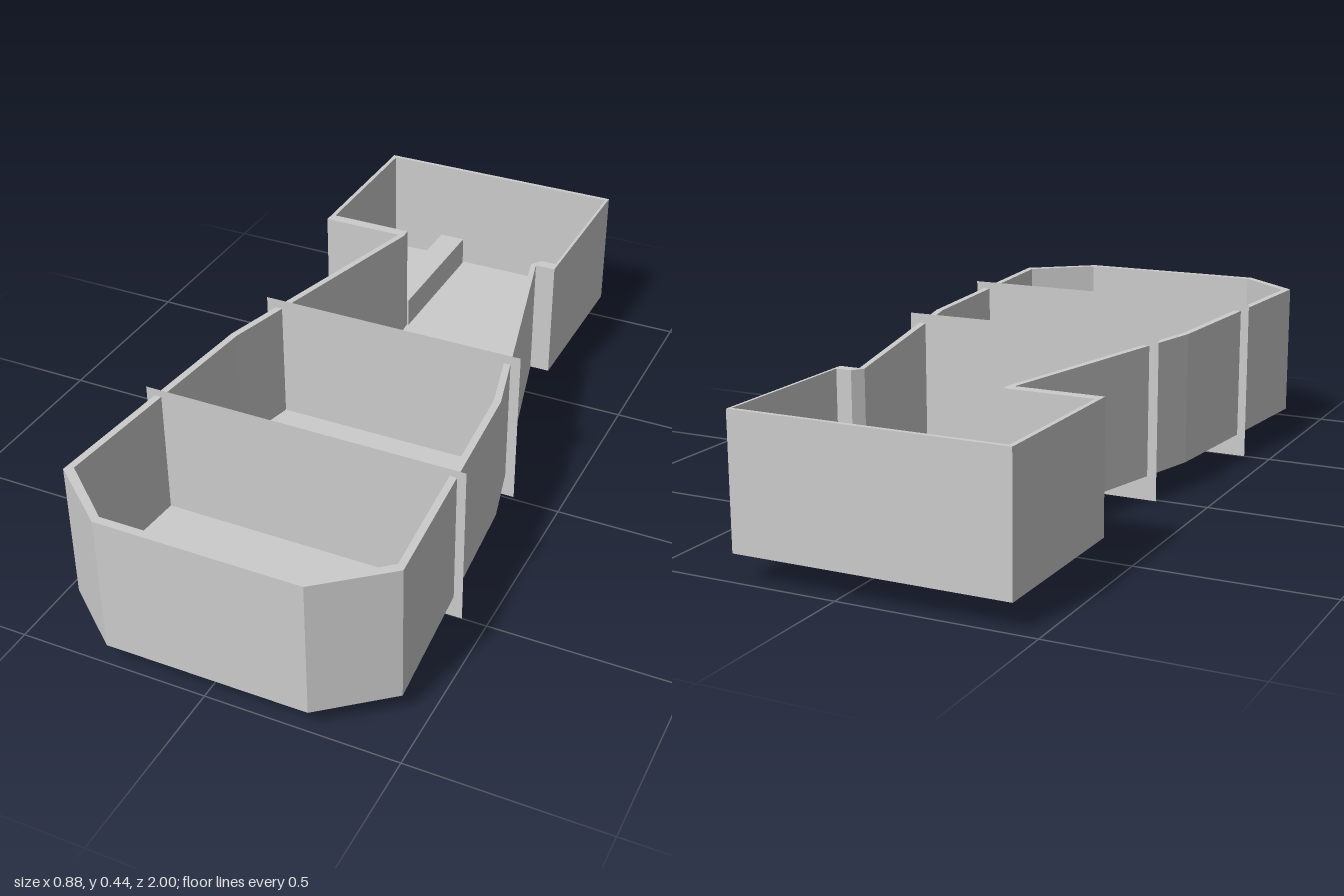
import * as THREE from 'three';

const grey = new THREE.MeshStandardMaterial({ color: 0xcccccc, flatShading: true });
const sheet = new THREE.MeshStandardMaterial({ color: 0xcccccc, flatShading: true, side: THREE.DoubleSide });

// Plan outlines as [x, z]
const outer = [
  [0.27, 1], [0.44, 0.86], [0.385, 0.16], [0.215, -0.53], [0.27, -0.53], [0.27, -1],
  [-0.44, -1], [-0.44, -0.53], [-0.21, -0.53], [-0.375, 0.16], [-0.43, 0.86], [-0.26, 1],
];
const inner = [
  [0.265, 0.978], [0.42, 0.845], [0.367, 0.165], [0.2, -0.53], [0.22, -0.56], [0.262, -0.56], [0.262, -0.988],
  [-0.428, -0.988], [-0.428, -0.56], [-0.195, -0.56], [-0.193, -0.53], [-0.357, 0.165], [-0.41, 0.845], [-0.255, 0.978],
];
const toPoints = (list) => list.map(([x, z]) => new THREE.Vector2(x, -z));

// Depth of the tray shrinks slightly from the wide end to the box end
function heightAt(z, t) {
  const k = THREE.MathUtils.clamp((z + 0.53) / 1.39, 0, 1);
  const bottom = THREE.MathUtils.lerp(0.07, 0.058, k);
  const top = THREE.MathUtils.lerp(0.408, 0.425, k);
  return THREE.MathUtils.lerp(bottom, top, t);
}

// Extrude a plan upward between two fractions of the tray's depth
function raise(shape, from, to) {
  const geo = new THREE.ExtrudeGeometry(shape, { depth: 1, bevelEnabled: false });
  geo.rotateX(-Math.PI / 2);
  const p = geo.attributes.position;
  for (let i = 0; i < p.count; i++) {
    p.setY(i, heightAt(p.getZ(i), THREE.MathUtils.lerp(from, to, p.getY(i))));
  }
  geo.computeVertexNormals();
  return geo;
}

export function createModel() {
  const group = new THREE.Group();
  const add = (name, geo, mat = grey, x = 0, y = 0, z = 0) => {
    const mesh = new THREE.Mesh(geo, mat);
    mesh.name = name;
    mesh.position.set(x, y, z);
    group.add(mesh);
  };

  // Continuous wall around the tray and its rear box
  const ring = new THREE.Shape(toPoints(outer));
  ring.holes.push(new THREE.Path(toPoints(inner)));
  add('wall', raise(ring, 0, 1));

  // Floor
  add('floor', raise(new THREE.Shape(toPoints(outer)), 0, 0.06));

  // Low ledge and rib inside the rear box
  add('ledge', new THREE.BoxGeometry(0.143, 0.02, 0.428), grey, -0.3565, 0.09, -0.774);
  add('rib', new THREE.BoxGeometry(0.075, 0.09, 0.42), grey, -0.2275, 0.13, -0.77);

  // Thin cross dividers that stand proud of the walls
  add('frontDivider', new THREE.PlaneGeometry(0.86, 0.44), sheet, 0.005, 0.22, 0.5);
  add('rearDivider', new THREE.PlaneGeometry(0.73, 0.44), sheet, 0.005, 0.22, -0.01);

  return group;
}
